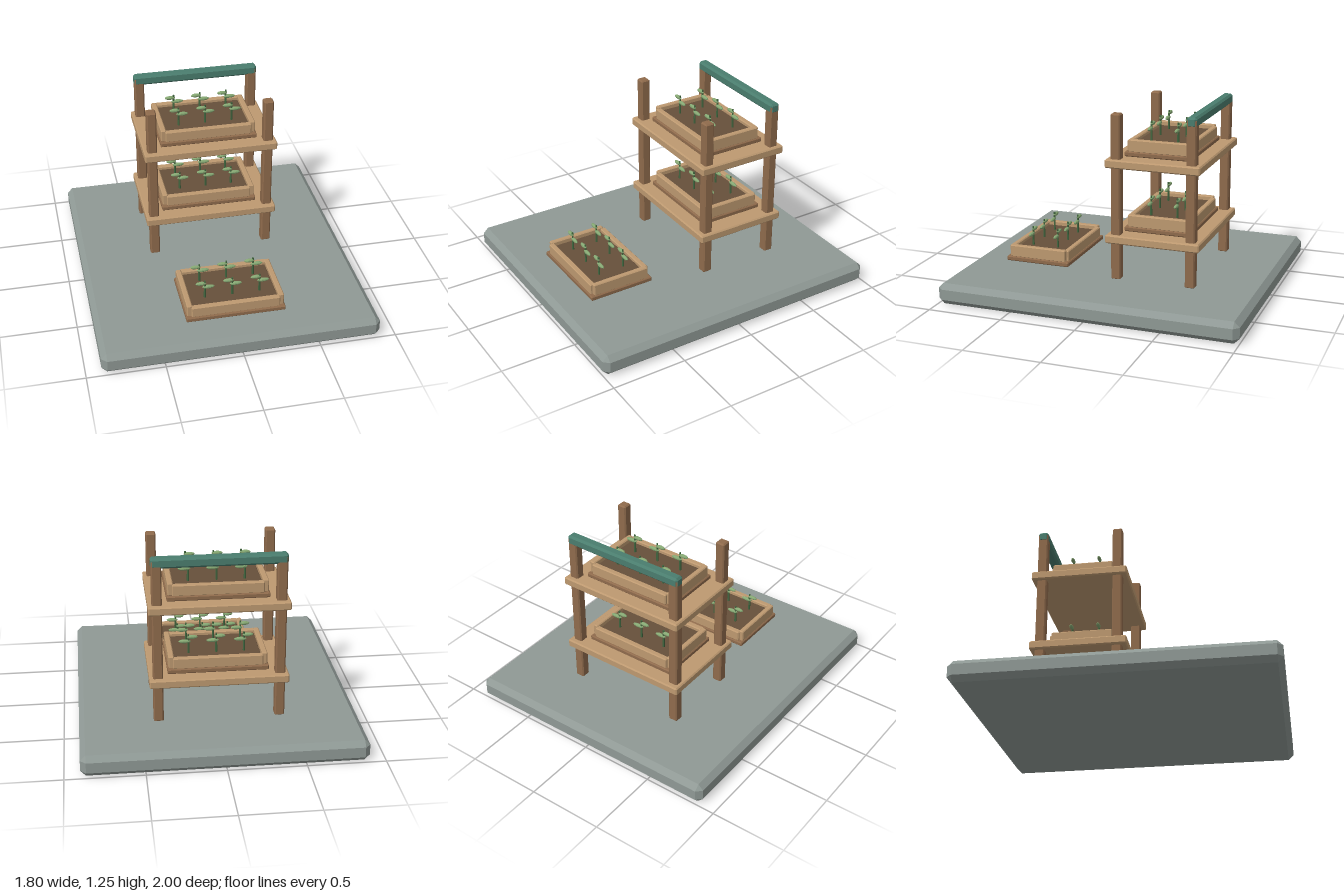
import * as THREE from 'three';
import { ConvexGeometry } from 'three/addons/geometries/ConvexGeometry.js';

const mat = (color) => new THREE.MeshStandardMaterial({ color, flatShading: true });
const stone = mat(0x8f9995), lightWood = mat(0xbd9970), darkWood = mat(0x8f6b4c);
const soilMat = mat(0x67503b), teal = mat(0x4a7d6e), stemMat = mat(0x41663f), leafMat = mat(0x86a873);

// Box with every edge chamfered by c, given by its min and max corners
function beveled(name, material, [x0, y0, z0], [x1, y1, z1], c) {
  const half = [(x1 - x0) / 2, (y1 - y0) / 2, (z1 - z0) / 2];
  const points = [];
  for (const sx of [-1, 1]) for (const sy of [-1, 1]) for (const sz of [-1, 1]) {
    const s = [sx, sy, sz];
    for (let full = 0; full < 3; full++) {
      points.push(new THREE.Vector3(...half.map((h, i) => s[i] * (i === full ? h : h - c))));
    }
  }
  const mesh = new THREE.Mesh(new ConvexGeometry(points), material);
  mesh.name = name;
  mesh.position.set((x0 + x1) / 2, (y0 + y1) / 2, (z0 + z1) / 2);
  return mesh;
}

const stemGeo = new THREE.CylinderGeometry(0.006, 0.008, 0.14, 6);
const leafGeo = new THREE.SphereGeometry(1, 10, 6);

function addLeaf(plant, name, x, y, rx, ry, rz) {
  const leaf = new THREE.Mesh(leafGeo, leafMat);
  leaf.name = name;
  leaf.position.set(x, y, 0);
  leaf.scale.set(rx, ry, rz);
  plant.add(leaf);
}

// Seedling: stem, two flat leaves and a small tip
function createSeedling() {
  const plant = new THREE.Group();
  plant.name = 'seedling';
  const stem = new THREE.Mesh(stemGeo, stemMat);
  stem.name = 'stem';
  stem.position.y = 0.142;
  plant.add(stem);
  addLeaf(plant, 'upperLeaf', -0.025, 0.193, 0.036, 0.013, 0.013);
  addLeaf(plant, 'lowerLeaf', 0.024, 0.164, 0.041, 0.013, 0.013);
  return plant;
}

// Planter tray: base, four boards, soil and six seedlings
function createPlanter(y, z) {
  const planter = new THREE.Group();
  planter.name = 'planter';
  planter.position.set(0, y, z);
  planter.add(
    beveled('trayBase', darkWood, [-0.325, 0, -0.225], [0.325, 0.032, 0.225], 0.006),
    beveled('soil', soilMat, [-0.284, 0.025, -0.178], [0.284, 0.082, 0.178], 0.005),
  );
  for (const s of [-1, 1]) {
    planter.add(
      beveled('longBoard', lightWood, [-0.29, 0.028, s * 0.196 - 0.019], [0.29, 0.102, s * 0.196 + 0.019], 0.006),
      beveled('endBoard', lightWood, [s * 0.3 - 0.018, 0.028, -0.2], [s * 0.3 + 0.018, 0.11, 0.2], 0.006),
    );
    for (const x of [-0.18, 0, 0.18]) {
      const plant = createSeedling();
      plant.position.set(x, 0, s * 0.09);
      planter.add(plant);
    }
  }
  return planter;
}

export function createModel() {
  const model = new THREE.Group();
  model.name = 'plantStand';
  model.add(beveled('groundSlab', stone, [-0.9, 0, -1], [0.9, 0.14, 1], 0.035));

  // Four posts
  for (const x of [-0.39, 0.39]) for (const z of [-0.05, -0.55]) {
    model.add(beveled('post', darkWood, [x - 0.032, 0.135, z - 0.032], [x + 0.032, 1.232, z + 0.032], 0.008));
  }
  // Shelves, each carrying a planter
  for (const y of [0.44, 0.94]) {
    model.add(beveled('shelf', lightWood, [-0.445, y - 0.056, -0.615], [0.445, y, 0.015], 0.008));
    model.add(createPlanter(y, -0.3));
  }
  // Planter on the ground and the rear top rail
  model.add(createPlanter(0.14, 0.55));
  model.add(beveled('topRail', teal, [-0.425, 1.18, -0.583], [0.425, 1.246, -0.517], 0.013));
  return model;
}
